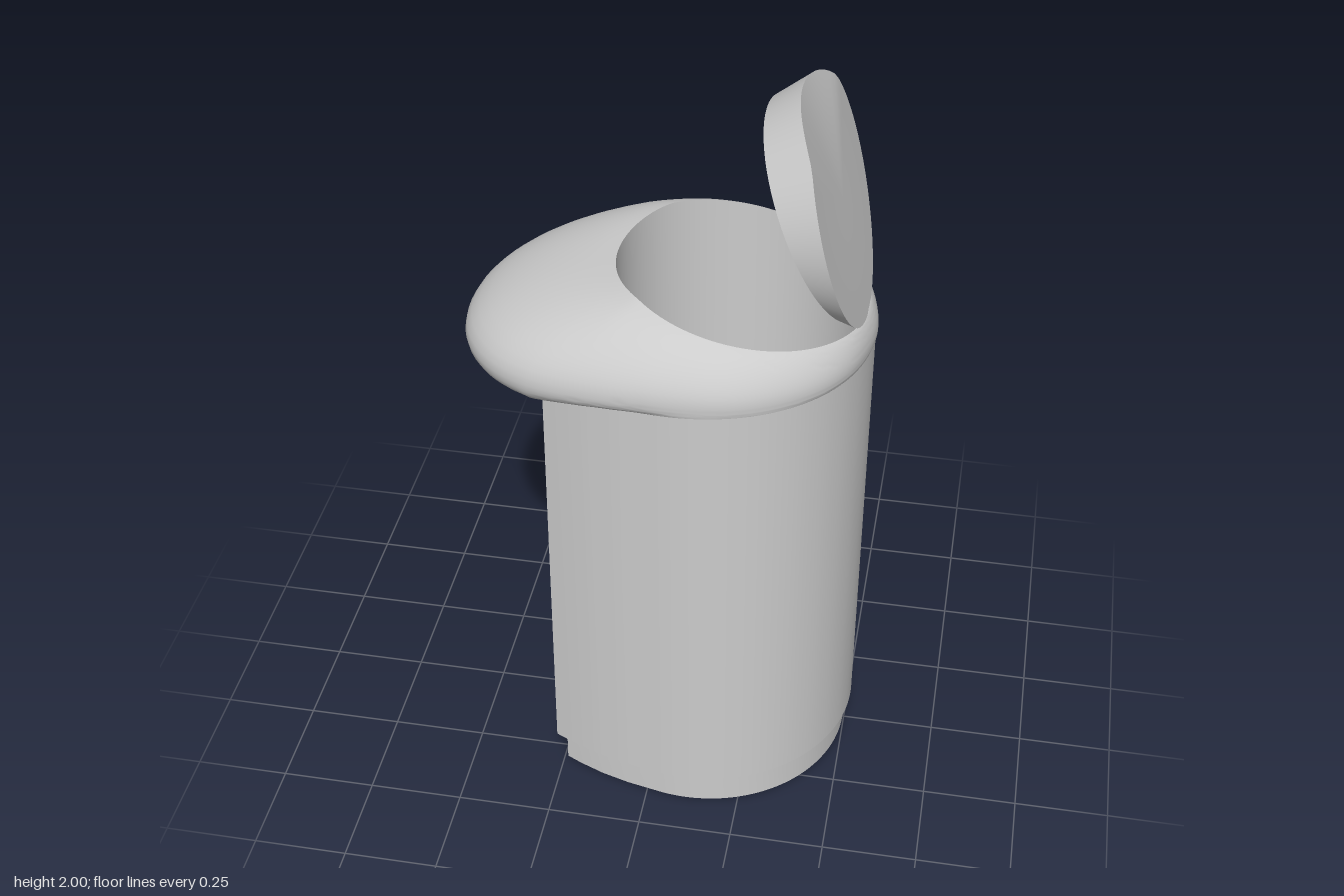
import * as THREE from 'three';
import { toCreasedNormals } from 'three/addons/utils/BufferGeometryUtils.js';

const V = (x, y, z) => new THREE.Vector3(x, y, z);
const CX = 0.18;            // centre of the round opening
const OPEN_R = 0.315;
const CORNER = [-0.266, 0.31];

// Mirror a half outline (z >= 0, back to front) into a closed one
const closed = half => [...half, ...half.slice(1, -1).reverse().map(([x, z]) => [x, -z])];

// Round back, tapering to two front corners, with a hollow front
function bodyOutline() {
  const half = [];
  for (let i = 0; i <= 30; i++) {
    const a = (i / 30) * 1.8;
    half.push([0.105 + 0.41 * Math.cos(a), 0.41 * Math.sin(a)]);
  }
  half.push([-0.07, 0.383], [-0.15, 0.36], [-0.22, 0.332], CORNER);
  for (let i = 1; i <= 12; i++) {
    const t = i / 12;
    half.push([CORNER[0] + 0.045 * (1 - (1 - t) ** 4), CORNER[1] * (1 - t)]);
  }
  return closed(half);
}

// Egg-shaped outline of the head
function headOutline() {
  const pts = closed([[0.52, 0], [0.493, 0.142], [0.45, 0.23], [0.39, 0.3], [0.3, 0.363], [0.2, 0.401],
    [0.08, 0.413], [-0.1, 0.398], [-0.3, 0.344], [-0.42, 0.262], [-0.5, 0.14], [-0.525, 0]])
    .map(([x, z]) => V(x, 0, z));
  return new THREE.CatmullRomCurve3(pts, true).getPoints(160).slice(0, -1).map(p => [p.x, p.z]);
}

// Where a ray from the opening centre meets an outline
function hit(outline, a) {
  const dx = Math.cos(a), dz = Math.sin(a);
  let best = 0;
  outline.forEach(([x1, z1], i) => {
    const [x2, z2] = outline[(i + 1) % outline.length];
    const ex = x2 - x1, ez = z2 - z1, den = dx * ez - dz * ex;
    if (Math.abs(den) < 1e-9) return;
    const r = ((x1 - CX) * ez - z1 * ex) / den;
    const s = ((x1 - CX) * dz - z1 * dx) / den;
    if (r > 0 && s >= -1e-6 && s <= 1 + 1e-6) best = Math.max(best, r);
  });
  return [CX + best * dx, best * dz];
}

// Skin a list of rings
function loft(rows, crease = 0.6) {
  const n = rows[0].length, index = [];
  for (let i = 0; i < rows.length - 1; i++) {
    for (let j = 0; j < n; j++) {
      const k = (j + 1) % n, a = i * n + j, b = i * n + k, c = a + n, d = b + n;
      index.push(a, b, c, b, d, c);
    }
  }
  const geo = new THREE.BufferGeometry().setFromPoints(rows.flat());
  geo.setIndex(index);
  return toCreasedNormals(geo, crease);
}

const rimY = x => (x < -0.04 ? 1.515 - 1.2 * (x + 0.04) ** 2 : 1.515 - 0.187 * (x + 0.04));
const equatorY = x => 1.345 - 0.055 * THREE.MathUtils.clamp(-x / 0.525, 0, 1);
function seamY(x, z) {
  if (x < -0.2 && Math.abs(z) < CORNER[1]) return 1.18 + 0.07 * (z / CORNER[1]) ** 2;
  return 1.32 - 0.07 * ((0.515 - x) / 0.78) ** 4;
}

export function createModel() {
  const group = new THREE.Group();
  const mat = new THREE.MeshStandardMaterial({ color: 0xcccccc });
  const add = (name, geo) => {
    const mesh = new THREE.Mesh(geo, mat);
    mesh.name = name;
    group.add(mesh);
    return mesh;
  };

  // Ray angles, with the two front corners included
  const corner = Math.atan2(CORNER[1], CORNER[0] - CX);
  const angles = [corner, 2 * Math.PI - corner];
  for (let i = 0; i < 120; i++) angles.push((i / 120) * Math.PI * 2);
  angles.sort((a, b) => a - b);

  const bodyLine = bodyOutline(), headLine = headOutline();
  const rim = angles.map(a => {
    const x = CX + OPEN_R * Math.cos(a);
    return V(x, rimY(x), OPEN_R * Math.sin(a));
  });
  const equator = angles.map(a => {
    const [x, z] = hit(headLine, a);
    return V(x, equatorY(x), z);
  });
  const seam = angles.map(a => {
    const [x, z] = hit(bodyLine, a);
    return V(x, seamY(x, z), z);
  });
  const level = (ring, y) => ring.map(p => V(p.x, y, p.z));
  const centre = y => angles.map(() => V(CX, y, 0));

  // Body wall and its underside
  add('body', loft([seam, level(seam, 0.1), centre(0.1)]));

  // Head: domed top curve, then a rounded underside down to the seam
  const curves = angles.map((_, i) => {
    const r = rim[i], e = equator[i], s = seam[i];
    const p1 = r.clone().lerp(e, 0.4).setY(r.y - 0.12 * (r.y - e.y));
    const p2 = e.clone().setY(e.y + 0.42 * (r.y - e.y));
    const q1 = e.clone().setY(e.y - 0.6 * (e.y - s.y));
    const q2 = e.clone().lerp(s, 0.35).setY(s.y + 0.2 * (e.y - s.y));
    return [...new THREE.CubicBezierCurve3(r, p1, p2, e).getPoints(12),
      ...new THREE.CubicBezierCurve3(e, q1, q2, s).getPoints(8).slice(1)];
  });
  add('head', loft(curves[0].map((_, k) => curves.map(c => c[k])), 0.9));

  // Inner vessel
  add('vessel', loft([centre(0.2), level(rim, 0.2), rim]));

  // Base plinth with a flat front
  const baseShape = new THREE.Shape(bodyLine
    .filter(([x, z]) => Math.abs(z) >= CORNER[1] || x > 0)
    .map(([x, z]) => new THREE.Vector2(0.128 + (x - 0.125) * 0.945, -z * 0.945)));
  const base = new THREE.ExtrudeGeometry(baseShape, { depth: 0.1, bevelEnabled: false });
  base.rotateX(-Math.PI / 2);
  add('base', toCreasedNormals(base, 0.6));

  // Level window: a tall strip with rounded ends on the spout side
  const strip = new THREE.Shape();
  strip.absarc(0, 0.3, 0.077, Math.PI, Math.PI * 2, false);
  strip.absarc(0, 1.08, 0.077, 0, Math.PI, false);
  const windowGeo = new THREE.ExtrudeGeometry(strip, { depth: 0.03, bevelEnabled: false, curveSegments: 16 });
  windowGeo.rotateY(-Math.PI / 2);
  add('levelWindow', toCreasedNormals(windowGeo, 0.6)).position.set(-0.207, 0, 0.06);

  // Spout nozzle
  add('nozzle', new THREE.CylinderGeometry(0.021, 0.021, 0.07, 20)).position.set(-0.42, 1.21, 0);

  // Lid: a flared disc, thick at its free end and thin at the hinge
  const lidR = 0.305;
  const lidGeo = new THREE.CylinderGeometry(lidR, 0.285, 1, 64).scale(1, 1, OPEN_R / lidR);
  const pos = lidGeo.attributes.position;
  for (let i = 0; i < pos.count; i++) {
    const s = pos.getX(i) + lidR;
    const thick = s < 0.1 ? 0.114 - 1.2 * (s - 0.1) ** 2 : 0.114 - 0.205 * (s - 0.1);
    pos.setY(i, pos.getY(i) > 0 ? thick : 0);
  }
  const lid = add('lid', toCreasedNormals(lidGeo, 0.5));
  lid.position.set(0.3515, 1.68, 0);
  lid.rotation.z = -1.11;

  // Hinge pin
  const hinge = add('hinge', new THREE.CylinderGeometry(0.012, 0.012, 0.1, 16));
  hinge.rotation.x = Math.PI / 2;
  hinge.position.set(0.482, 1.412, 0);

  return group;
}
